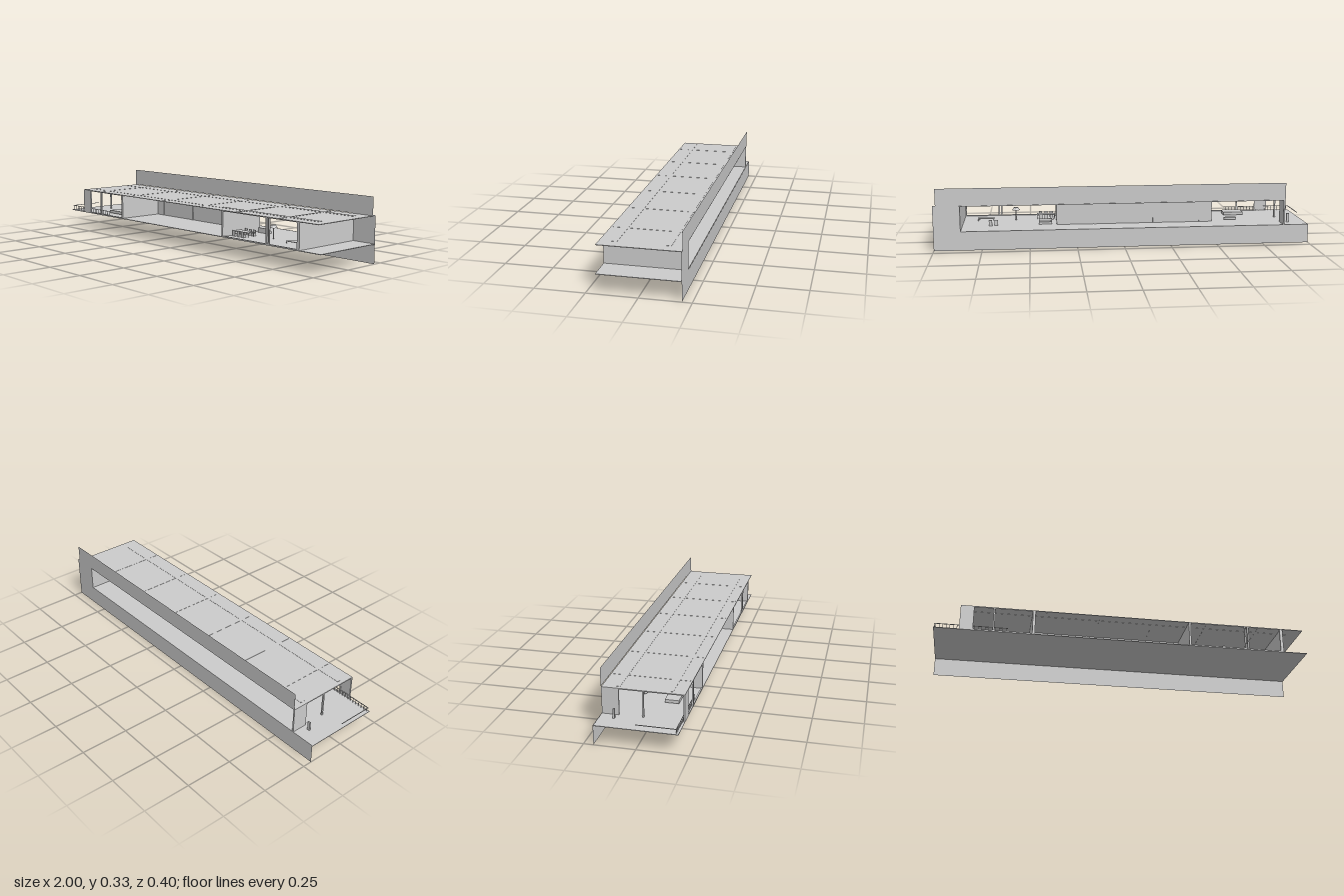
import * as THREE from 'three';

const mat = new THREE.MeshStandardMaterial({ color: 0xcccccc, flatShading: true, side: THREE.DoubleSide });
const FLOOR = 0.1, CEIL = 0.235, DEPTH = 0.2;

function add(group, name, geometry) {
  const mesh = new THREE.Mesh(geometry, mat);
  mesh.name = name;
  group.add(mesh);
  return mesh;
}

// Box given by its limits on each axis
function box(group, name, x0, x1, y0, y1, z0, z1) {
  const mesh = add(group, name, new THREE.BoxGeometry(x1 - x0, y1 - y0, z1 - z0));
  mesh.position.set((x0 + x1) / 2, (y0 + y1) / 2, (z0 + z1) / 2);
  return mesh;
}

// Wall from floor to ceiling
const wall = (g, name, x0, x1, z0, z1) => box(g, name, x0, x1, FLOOR, CEIL, z0, z1);

function addPart(parent, name) {
  const g = new THREE.Group();
  g.name = name;
  parent.add(g);
  return g;
}

// Thin screen wall behind the house, open towards the terrace
function buildFacade(parent) {
  const points = [[-1, 0], [1, 0], [1, 0.24], [0.985, 0.24], [0.985, 0.33], [-0.87, 0.33],
    [-0.87, 0.237], [0.865, 0.237], [0.865, FLOOR], [-1, FLOOR]];
  const shape = new THREE.Shape(points.map(([x, y]) => new THREE.Vector2(x, y)));
  add(parent, 'facadeScreen', new THREE.ShapeGeometry(shape)).position.z = -DEPTH - 0.002;
}

// Flat roof with shallow bands between the panels
function buildRoof(parent) {
  const roof = addPart(parent, 'roof');
  box(roof, 'roofSlab', -0.87, 0.985, 0.233, 0.236, -DEPTH, DEPTH);
  for (let i = 0; i < 6; i++) {
    const x = -0.71 + i * 0.29;
    box(roof, 'crossBand', x - 0.007, x + 0.007, 0.232, 0.237, -0.19, 0.19);
  }
  for (const z of [-0.127, 0.127]) {
    box(roof, 'longBand', -0.85, 0.93, 0.232, 0.237, z - 0.013, z + 0.013);
  }
}

function buildWalls(parent) {
  const walls = addPart(parent, 'walls');
  wall(walls, 'coreWall', -0.49, 0.35, -0.075, -0.065);
  wall(walls, 'leftRoomWall', 0.345, 0.355, -0.07, DEPTH);
  wall(walls, 'rightRoomWall', -0.495, -0.485, -0.07, DEPTH);
  wall(walls, 'endWall', 0.86, 0.87, -DEPTH, DEPTH);
  wall(walls, 'frontCornerWall', -0.87, -0.8, DEPTH - 0.006, DEPTH);
  wall(walls, 'backCornerWall', -0.87, -0.862, -DEPTH, -0.12);
  // Door jambs on both sides of the core
  for (const x of [-0.43, -0.175, 0.147]) wall(walls, 'doorJamb', x - 0.007, x + 0.007, -0.079, -0.061);
}

// Window frame along x: posts, sill and head
function frontFrame(parent, posts) {
  const frame = addPart(parent, 'windowFrame');
  const x0 = posts[0], x1 = posts[posts.length - 1], z0 = DEPTH - 0.008;
  for (const x of posts) wall(frame, 'framePost', x - 0.004, x + 0.004, z0, DEPTH);
  box(frame, 'frameSill', x0, x1, FLOOR, FLOOR + 0.004, z0, DEPTH);
  box(frame, 'frameHead', x0, x1, CEIL - 0.004, CEIL, z0, DEPTH);
}

function buildWindows(parent) {
  frontFrame(parent, [-0.804, -0.695, -0.485]);
  frontFrame(parent, [0.35, 0.658, 0.673, 0.858]);
  // Glazed end towards the terrace
  const end = addPart(parent, 'endWindowFrame');
  for (const z of [-0.12, 0, DEPTH - 0.004]) wall(end, 'framePost', -0.87, -0.862, z - 0.004, z + 0.004);
  box(end, 'frameHead', -0.87, -0.862, CEIL - 0.004, CEIL, -DEPTH, DEPTH);
}

// Railing with thin pickets along the front of the terrace and bedroom
function buildRailing(parent) {
  const railing = addPart(parent, 'railing');
  const top = 0.123;
  box(railing, 'frontRail', -0.995, -0.62, top, top + 0.003, 0.188, 0.191);
  box(railing, 'sideRail', -0.998, -0.995, top, top + 0.003, 0, 0.191);
  for (let x = -0.99; x < -0.62; x += 0.018) {
    box(railing, 'picket', x, x + 0.0025, FLOOR, top, 0.188, 0.19);
  }
}

function table(parent, x, z, w, d, h) {
  const g = addPart(parent, 'table');
  box(g, 'tableTop', x - w / 2, x + w / 2, FLOOR + h - 0.003, FLOOR + h, z - d / 2, z + d / 2);
  for (const sx of [-1, 1]) for (const sz of [-1, 1]) {
    const lx = x + sx * (w / 2 - 0.003), lz = z + sz * (d / 2 - 0.003);
    box(g, 'tableLeg', lx - 0.0015, lx + 0.0015, FLOOR, FLOOR + h, lz - 0.0015, lz + 0.0015);
  }
}

function chair(parent, x, z, side) {
  const g = addPart(parent, 'chair');
  box(g, 'seat', x - 0.009, x + 0.009, FLOOR, FLOOR + 0.014, z - 0.009, z + 0.009);
  const back = z + side * 0.009;
  box(g, 'chairBack', x - 0.009, x + 0.009, FLOOR, FLOOR + 0.03, back - 0.0015, back + 0.0015);
}

function buildFurniture(parent) {
  const f = addPart(parent, 'furniture');
  // Bedroom
  box(f, 'bed', -0.7, -0.59, FLOOR + 0.004, FLOOR + 0.02, 0.06, 0.13);
  const chaise = add(f, 'chaise', new THREE.CylinderGeometry(1, 1, 0.012, 16));
  chaise.scale.set(0.035, 1, 0.014);
  chaise.position.set(-0.6, FLOOR + 0.012, -0.06);
  // Dining room
  table(f, 0.41, 0.1, 0.1, 0.045, 0.024);
  for (const x of [0.38, 0.41, 0.44]) for (const s of [-1, 1]) chair(f, x, 0.1 + s * 0.035, s);
  box(f, 'sofaSeat', 0.38, 0.45, FLOOR, FLOOR + 0.013, -0.06, -0.03);
  box(f, 'sofaBack', 0.38, 0.45, FLOOR, FLOOR + 0.026, -0.035, -0.03);
  // Standing lamp
  const pole = add(f, 'lampPole', new THREE.CylinderGeometry(0.003, 0.003, 0.07, 8));
  pole.position.set(0.575, FLOOR + 0.035, 0.06);
  const shade = add(f, 'lampShade', new THREE.CylinderGeometry(0.012, 0.021, 0.014, 12));
  shade.position.set(0.575, FLOOR + 0.065, 0.06);
  // Living room
  table(f, 0.74, 0.08, 0.09, 0.04, 0.012);
  for (const x of [0.68, 0.71]) chair(f, x, -0.06, -1);
  // Terrace post
  box(f, 'terracePost', -0.912, -0.898, FLOOR, 0.148, -0.134, -0.126);
}

export function createModel() {
  const house = new THREE.Group();
  house.name = 'house';
  box(house, 'floorSlab', -1, 1, FLOOR - 0.003, FLOOR, -DEPTH, DEPTH);
  buildFacade(house);
  buildRoof(house);
  buildWalls(house);
  buildWindows(house);
  buildRailing(house);
  buildFurniture(house);
  return house;
}
